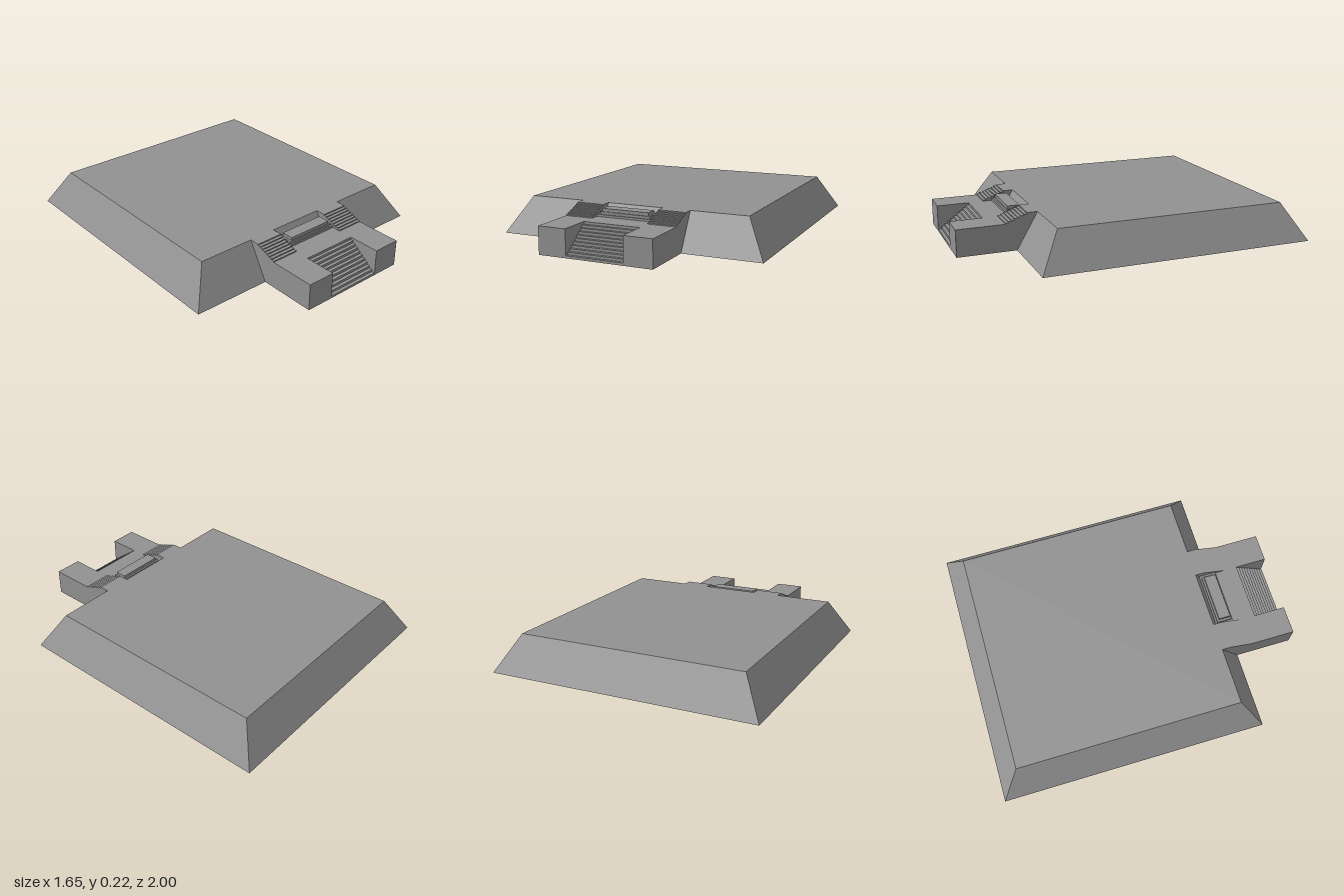
import * as THREE from 'three';

const stone = new THREE.MeshStandardMaterial({ color: 0x919191 });
stone.name = 'grey stone';
const paleStone = new THREE.MeshStandardMaterial({ color: 0xd4d4d4 });
paleStone.name = 'pale stone';

const HEIGHT = 0.22, TERRACE = 0.165, INNER = 0.175, OUTER = 0.347;
const HALF = 0.823, FRONT = 0.65, INSET = 0.127;
const BASE = 0.002; // the masonry sits just above the underside sheet

export function createModel() {
  const model = new THREE.Group();
  model.name = 'steppedPlatform';

  const add = (name, geometry, material = stone) => {
    const mesh = new THREE.Mesh(geometry, material);
    mesh.name = name;
    model.add(mesh);
  };

  // box given by its limits
  const block = (name, x0, x1, y0, y1, z0, z1) =>
    add(name, new THREE.BoxGeometry(x1 - x0, y1 - y0, z1 - z0)
      .translate((x0 + x1) / 2, (y0 + y1) / 2, (z0 + z1) / 2));

  // solid flight climbing from (zFront, yLow) to (zBack, yHigh), closed at zEnd
  const flight = (name, x0, x1, zFront, zBack, yLow, yHigh, steps, zEnd, yBase) => {
    const shape = new THREE.Shape();
    shape.moveTo(zEnd, yBase);
    shape.lineTo(zFront, yBase);
    const rise = (yHigh - yLow) / steps;
    const tread = (zFront - zBack) / (steps - 1);
    for (let i = 0; i < steps; i++) {
      const z = zFront - i * tread;
      shape.lineTo(z, yLow + (i + 1) * rise);
      if (i < steps - 1) shape.lineTo(z - tread, yLow + (i + 1) * rise);
    }
    shape.lineTo(zEnd, yHigh);
    shape.closePath();
    const geometry = new THREE.ExtrudeGeometry(shape, { depth: x1 - x0, bevelEnabled: false });
    add(name, geometry.rotateY(-Math.PI / 2).translate(x1, 0, 0));
  };

  // main platform with sloping sides
  let body = new THREE.BoxGeometry(2 * HALF, HEIGHT - BASE, FRONT + 1)
    .translate(0, (HEIGHT + BASE) / 2, (FRONT - 1) / 2);
  const p = body.attributes.position;
  for (let i = 0; i < p.count; i++) {
    if (p.getY(i) < HEIGHT / 2) continue;
    p.setX(i, p.getX(i) - Math.sign(p.getX(i)) * INSET);
    p.setZ(i, p.getZ(i) + (p.getZ(i) > 0 ? -INSET : INSET));
  }
  body = body.toNonIndexed();
  body.computeVertexNormals();
  add('platform', body);

  // pale underside, facing down
  const outline = new THREE.Shape([
    [-HALF, -1], [HALF, -1], [HALF, FRONT], [OUTER, FRONT],
    [OUTER, 1], [-OUTER, 1], [-OUTER, FRONT], [-HALF, FRONT],
  ].map(([x, z]) => new THREE.Vector2(x, z)));
  add('underside', new THREE.ShapeGeometry(outline).rotateX(Math.PI / 2), paleStone);

  // landing and lower stairs between the cheek walls
  block('landing', -INNER, INNER, BASE, TERRACE, 0.53, 0.8);
  flight('lowerStairs', -INNER, INNER, 1, 0.805, BASE, TERRACE, 11, 0.8, BASE);

  for (const side of [-1, 1]) {
    const name = side > 0 ? 'left' : 'right';
    const x0 = side > 0 ? INNER : -OUTER;
    const x1 = side > 0 ? OUTER : -INNER;
    block(name + 'CheekWall', x0, x1, BASE, TERRACE, 0.53, 1);
    // short upper stairs onto the platform
    flight(name + 'UpperStairs', x0, x1, 0.715, 0.585, TERRACE, HEIGHT, 8, FRONT - INSET, 0.15);
  }

  // tiered altar between the upper stairs
  block('altarPlinth', -INNER, INNER, 0.15, 0.178, 0.55, 0.66);
  block('altarBody', -0.16, 0.16, 0.17, 0.193, 0.56, 0.652);
  block('altarTop', -0.147, 0.147, 0.19, 0.212, 0.572, 0.645);

  return model;
}
